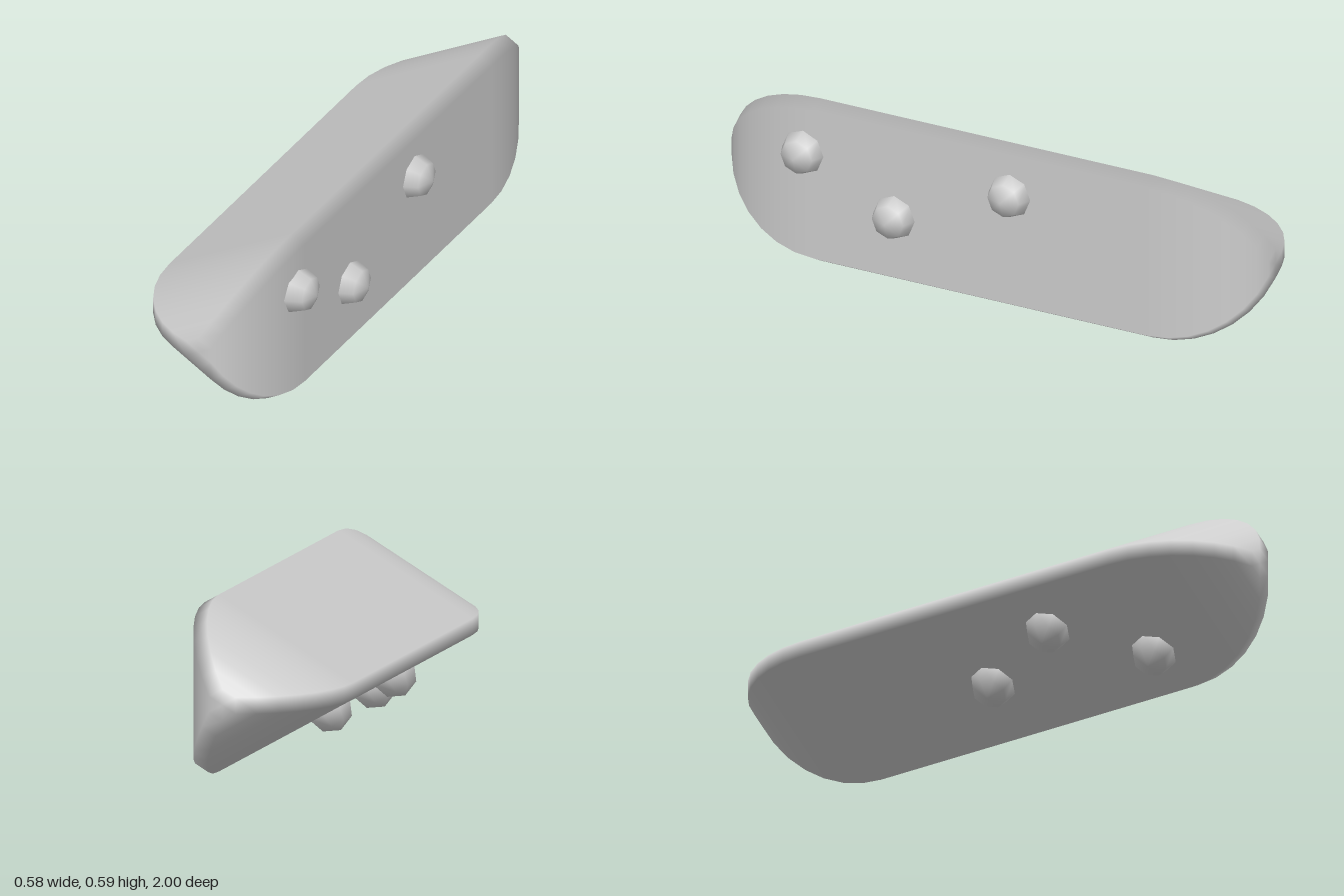
import * as THREE from 'three';

const CX = 0.032, CY = 0.295;      // axis of the prism
const R = 0.373;                   // sharp corner radius of the triangle
const CUT = 0.055;                 // length trimmed off each side at a corner
const STRAIGHT = 0.62, DOME = 0.3925;
const END = Math.acos(0.25);       // angle where the rounded end closes
const STEPS = 7;

const panelAngle = (k) => (k * Math.PI * 2) / 3;

// Rounded-end triangular prism with narrow chamfers, flat panels and soft corners
function prismGeometry() {
  const pos = [], nor = [], idx = [];
  const addRing = (t, side) => {
    const r = (R / 2) * Math.cos(t);
    const half = r * Math.sqrt(3) - CUT;
    const z = side * (STRAIGHT + DOME * Math.sin(t));
    const nr = DOME * Math.cos(t), nz = side * (R / 2) * Math.sin(t);
    const len = Math.hypot(nr, nz);
    for (let k = 0; k < 3; k++) {
      const c = Math.cos(panelAngle(k)), s = Math.sin(panelAngle(k));
      for (const e of [-1, 1]) {
        pos.push(CX + r * c - e * half * s, CY + r * s + e * half * c, z);
        nor.push((nr * c) / len, (nr * s) / len, nz / len);
      }
    }
  };
  for (let j = STEPS; j >= 0; j--) addRing((END * j) / STEPS, -1);
  for (let j = 0; j <= STEPS; j++) addRing((END * j) / STEPS, 1);
  const rings = 2 * (STEPS + 1);
  for (let j = 0; j < rings - 1; j++) {
    for (let i = 0; i < 6; i++) {
      const a = j * 6 + i, b = j * 6 + ((i + 1) % 6);
      idx.push(a, b, b + 6, a, b + 6, a + 6);
    }
  }
  // End tips
  const back = rings * 6, front = back + 1, last = (rings - 1) * 6;
  pos.push(CX, CY, -1, CX, CY, 1);
  nor.push(0, 0, -1, 0, 0, 1);
  for (let i = 0; i < 6; i++) {
    const n = (i + 1) % 6;
    idx.push(back, n, i, front, last + i, last + n);
  }
  const g = new THREE.BufferGeometry();
  g.setAttribute('position', new THREE.Float32BufferAttribute(pos, 3));
  g.setAttribute('normal', new THREE.Float32BufferAttribute(nor, 3));
  g.setIndex(idx);
  return g;
}

export function createModel() {
  const model = new THREE.Group();
  model.name = 'studdedPrism';
  const grey = new THREE.MeshStandardMaterial({ color: 0xcccccc });
  grey.name = 'light grey';

  const body = new THREE.Mesh(prismGeometry(), grey);
  body.name = 'prismBody';
  model.add(body);

  // Half-sunk low-poly studs: panel number, offset across the panel, z
  const studs = [
    [0, 0.11, 0.66], [0, -0.05, 0.32], [0, 0.125, -0.11],
    [2, -0.094, 0.27], [2, 0.046, -0.035], [2, 0.105, 0.575],
  ];
  const ball = new THREE.SphereGeometry(0.082, 8, 4);
  studs.forEach(([k, u, z], i) => {
    const a = panelAngle(k), d = R / 2 - 0.012;
    const stud = new THREE.Mesh(ball, grey);
    stud.name = `stud${i + 1}`;
    stud.position.set(
      CX + d * Math.cos(a) - u * Math.sin(a),
      CY + d * Math.sin(a) + u * Math.cos(a), z);
    stud.rotation.z = a - Math.PI / 2;
    model.add(stud);
  });
  return model;
}
